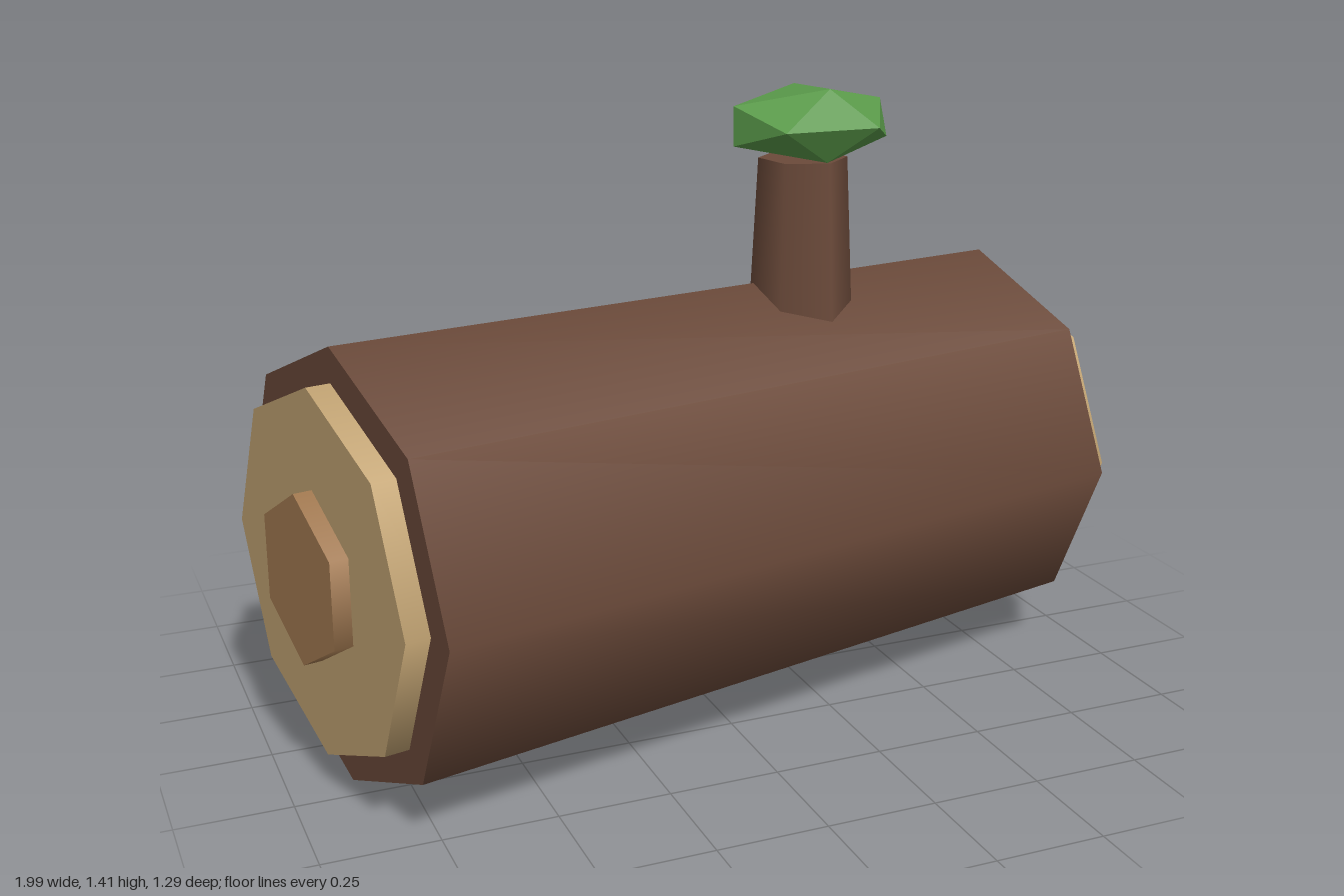
import * as THREE from 'three';
import { ConvexGeometry } from 'three/addons/geometries/ConvexGeometry.js';

const material = (name, color) => {
  const m = new THREE.MeshStandardMaterial({ color });
  m.name = name;
  return m;
};

export function createModel() {
  const bark = material('bark', 0x6b4a3a);
  const cutWood = material('cutWood', 0xc4a574);
  const heartWood = material('heartWood', 0xa67c52);
  const leaf = material('leaf', 0x5a9a4a);

  const model = new THREE.Group();
  model.name = 'log';

  const add = (parent, name, geometry, mat, x = 0, y = 0, z = 0) => {
    const mesh = new THREE.Mesh(geometry, mat);
    mesh.name = name;
    mesh.position.set(x, y, z);
    parent.add(mesh);
    return mesh;
  };

  // Cylinder lying along x, turned about its own axis by spin
  const lying = (rightRadius, leftRadius, length, sides, spin = 0) =>
    new THREE.CylinderGeometry(rightRadius, leftRadius, length, sides)
      .rotateY(spin)
      .rotateZ(-Math.PI / 2);

  // Trunk group, lying slightly askew
  const trunk = new THREE.Group();
  trunk.name = 'trunk';
  trunk.rotation.y = THREE.MathUtils.degToRad(12);
  model.add(trunk);

  const axisY = 0.49;
  add(trunk, 'barkBody', lying(0.46, 0.485, 1.758, 8), bark, 0, axisY);

  // Cut faces and heartwood at both ends
  for (const [side, s] of [['left', 1], ['right', -1]]) {
    add(trunk, side + 'CutFace', lying(0.408, 0.408, 0.1, 8), cutWood, s * 0.883, axisY);
    add(trunk, side + 'Heart', lying(0.19, 0.19, 0.08, 6, Math.PI / 2), heartWood, s * 0.934, axisY);
  }

  // Branch stub, its foot sunk into the trunk
  add(trunk, 'branch', new THREE.CylinderGeometry(0.102, 0.123, 0.42, 6), bark, 0.279, 1.04, 0.048);

  // Faceted leaf clump: a squashed, slightly uneven icosahedron
  const corners = [
    [0.30, 1.415, 0.085], [0.30, 1.405, -0.10],
    [0.30, 1.25, 0.08], [0.30, 1.25, -0.11],
    [0.175, 1.33, 0.13], [0.40, 1.33, 0.135],
    [0.175, 1.33, -0.155], [0.415, 1.33, -0.16],
    [0.11, 1.375, -0.01], [0.11, 1.285, -0.01],
    [0.475, 1.375, -0.01], [0.495, 1.285, -0.01],
  ].map((p) => new THREE.Vector3(...p));
  add(model, 'leafClump', new ConvexGeometry(corners), leaf);

  return model;
}
